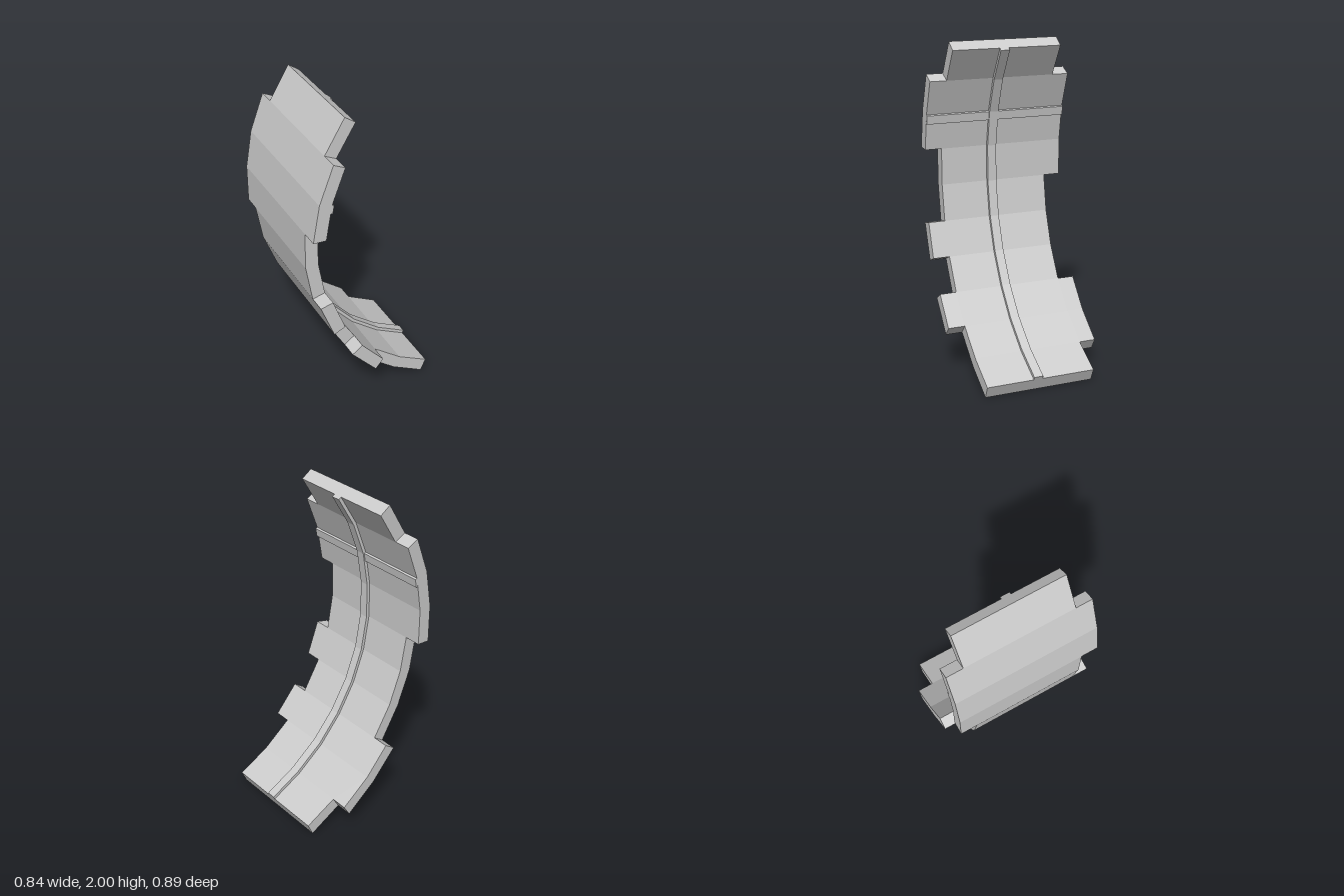
import * as THREE from 'three';

// Matching stations on the convex back and the concave inside, top to bottom
const outer = [[-0.175, 2], [-0.295, 1.8], [-0.38, 1.573], [-0.42, 1.34], [-0.42, 1.105], [-0.38, 0.872],
  [-0.295, 0.65], [-0.175, 0.445], [-0.015, 0.264], [0.175, 0.114], [0.377, 0.003]];
const inner = [[-0.11, 1.955], [-0.225, 1.765], [-0.304, 1.555], [-0.341, 1.335], [-0.341, 1.11], [-0.303, 0.89],
  [-0.225, 0.682], [-0.11, 0.49], [0.036, 0.322], [0.215, 0.182], [0.41, 0.078]];

// Inside stations pushed further toward the hollow by distance d
const raised = (d) => inner.map(([x, y], i) => {
  const dx = x - outer[i][0], dy = y - outer[i][1], k = d / Math.hypot(dx, dy);
  return [x + dx * k, y + dy * k];
});

export function createModel() {
  const group = new THREE.Group();
  const material = new THREE.MeshStandardMaterial({ color: 0xcccccc, flatShading: true });

  // Extrude the band between two profile lines from z0 to z1
  function band(name, lineA, lineB, z0, z1) {
    const shape = new THREE.Shape([...lineA, ...[...lineB].reverse()].map(([x, y]) => new THREE.Vector2(x, y)));
    const geometry = new THREE.ExtrudeGeometry(shape, { depth: z1 - z0, bevelEnabled: false });
    geometry.translate(0, 0, z0);
    const mesh = new THREE.Mesh(geometry, material);
    mesh.name = name;
    group.add(mesh);
  }

  // Curved plate
  band('curvedPlate', outer, inner, -0.34, 0.34);

  // Edge tabs: first station, last station, side
  const tabs = [[1, 3, 1], [5, 6, 1], [7, 8, 1], [1, 4, -1], [7, 9, -1]];
  for (const [a, b, side] of tabs) {
    const z0 = side > 0 ? 0.34 : -0.443;
    band(side > 0 ? 'frontTab' : 'backTab', outer.slice(a, b + 1), inner.slice(a, b + 1), z0, z0 + 0.103);
  }

  // Long rib running down the hollow side
  band('longRib', inner, raised(0.02), -0.008, 0.048);

  // Thin strip crossing the hollow side
  band('crossStrip', [[-0.304, 1.555], [-0.313, 1.5]], [[-0.292, 1.55], [-0.301, 1.497]], -0.443, 0.443);

  return group;
}
